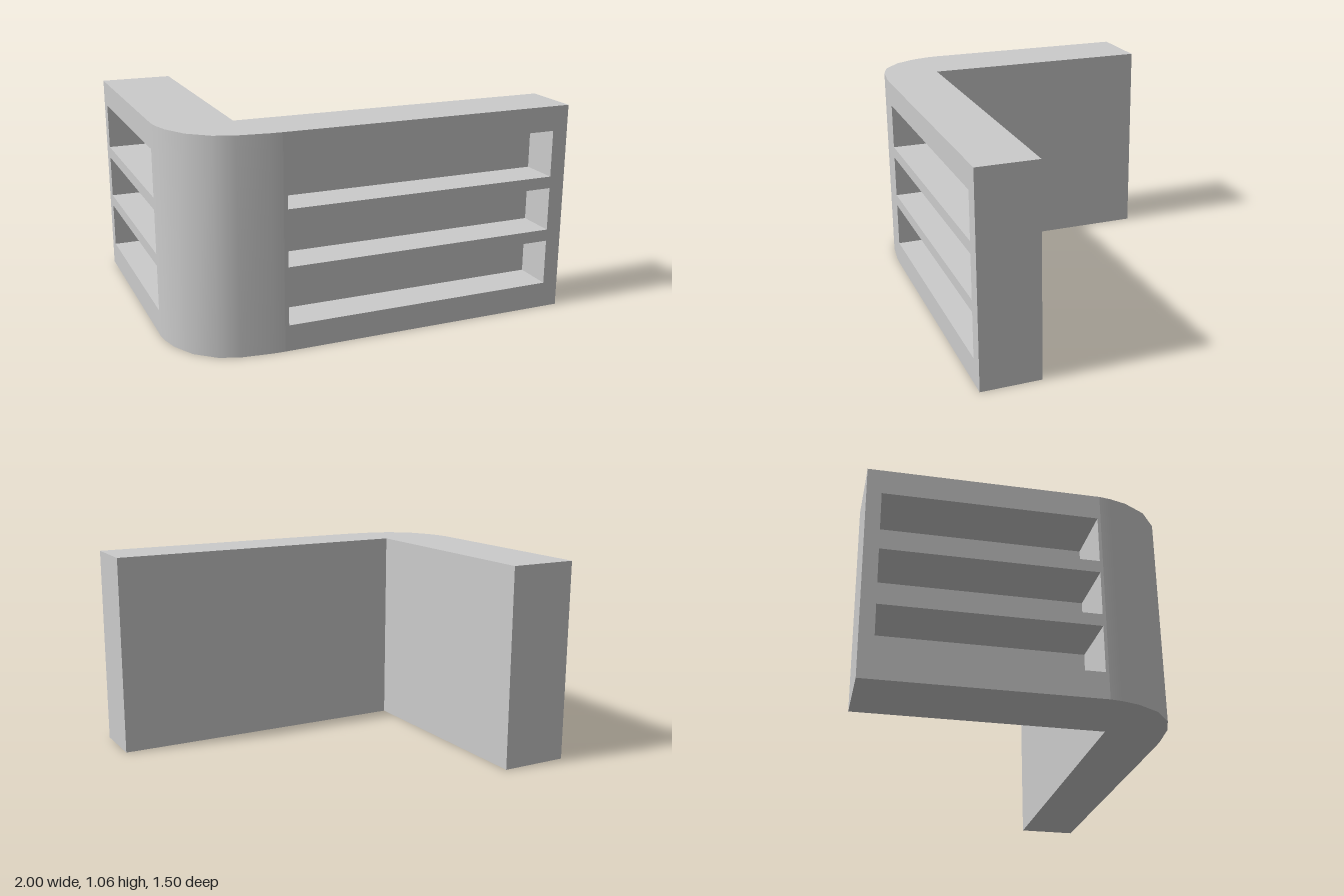
import * as THREE from 'three';

const H = 1.06;
const SLOTS = [[0.13, 0.36], [0.42, 0.64], [0.7, 0.935]];
const material = new THREE.MeshStandardMaterial({ color: 0xcccccc });

// Rounded outer corner in plan, as [x, z] from the side wall to the front wall
const CORNER = [[-1, 0.36], [-0.993, 0.415], [-0.97, 0.5], [-0.91, 0.61], [-0.81, 0.695],
  [-0.71, 0.73], [-0.56, 0.748], [-0.5, 0.75]];
// Full L-shaped plan
const PLAN = [...CORNER, [1, 0.75], [1, 0.45], [-0.635, 0.45], [-0.635, -0.75], [-1, -0.75]];

function mesh(name, geometry) {
  const m = new THREE.Mesh(geometry, material);
  m.name = name;
  return m;
}

function rectangle(P, x0, x1, y0, y1) {
  const p = new P();
  p.moveTo(x0, y0).lineTo(x1, y0).lineTo(x1, y1).lineTo(x0, y1).closePath();
  return p;
}

// Open box seen from inside, its mouth on the local z = 0 plane
function pocket(x0, x1, y0, y1, depth) {
  const g = new THREE.BoxGeometry(x1 - x0, y1 - y0, depth);
  const faces = Array.from(g.index.array);
  faces.splice(24, 6);
  g.setIndex(faces.reverse());
  g.clearGroups();
  const n = g.attributes.normal;
  for (let i = 0; i < n.array.length; i++) n.array[i] *= -1;
  g.translate((x0 + x1) / 2, (y0 + y1) / 2, -depth / 2);
  return mesh('slotPocket', g);
}

// Upright wall in local XY, facing local +z, optionally with recessed slots
function wall(name, x0, x1, slots) {
  const group = new THREE.Group();
  group.name = name;
  const face = rectangle(THREE.Shape, x0, x1, 0, H);
  if (slots) {
    for (const [y0, y1] of SLOTS) {
      face.holes.push(rectangle(THREE.Path, slots.from, slots.to, y0, y1));
      group.add(pocket(slots.from, slots.to, y0, y1, slots.depth));
    }
  }
  group.add(mesh('wallFace', new THREE.ShapeGeometry(face)));
  return group;
}

function place(object, x, z, turn) {
  object.position.set(x, 0, z);
  object.rotation.y = turn;
  return object;
}

function roundedCorner() {
  const positions = [], index = [];
  CORNER.forEach(([x, z], i) => {
    positions.push(x, 0, z, x, H, z);
    const a = 2 * i;
    if (i < CORNER.length - 1) index.push(a, a + 2, a + 3, a, a + 3, a + 1);
  });
  const g = new THREE.BufferGeometry();
  g.setAttribute('position', new THREE.Float32BufferAttribute(positions, 3));
  g.setIndex(index);
  g.computeVertexNormals();
  return mesh('roundedCorner', g);
}

function cap(name, y, up) {
  const shape = new THREE.Shape(PLAN.map(([x, z]) => new THREE.Vector2(x, up ? -z : z)));
  const g = new THREE.ShapeGeometry(shape);
  g.rotateX(up ? -Math.PI / 2 : Math.PI / 2);
  g.translate(0, y, 0);
  return mesh(name, g);
}

export function createModel() {
  const model = new THREE.Group();
  model.name = 'slottedCornerWall';
  const Q = Math.PI / 2;

  // Outer walls with recessed slots
  model.add(place(wall('frontWall', -0.5, 1, { from: -0.48, to: 0.92, depth: 0.2 }), 0, 0.75, 0));
  model.add(place(wall('sideWall', -0.75, 0.36, { from: -0.68, to: 0.345, depth: 0.3 }), -1, 0, -Q));
  model.add(roundedCorner());

  // End faces of the two arms
  model.add(place(wall('frontArmEnd', -0.75, -0.45), 1, 0, Q));
  model.add(place(wall('sideArmEnd', 0.635, 1), 0, -0.75, Math.PI));

  // Plain inner walls
  model.add(place(wall('frontArmInside', -1, 0.635), 0, 0.45, Math.PI));
  model.add(place(wall('sideArmInside', -0.45, 0.75), -0.635, 0, Q));

  // Top and underside
  model.add(cap('top', H, true), cap('underside', 0, false));
  return model;
}
